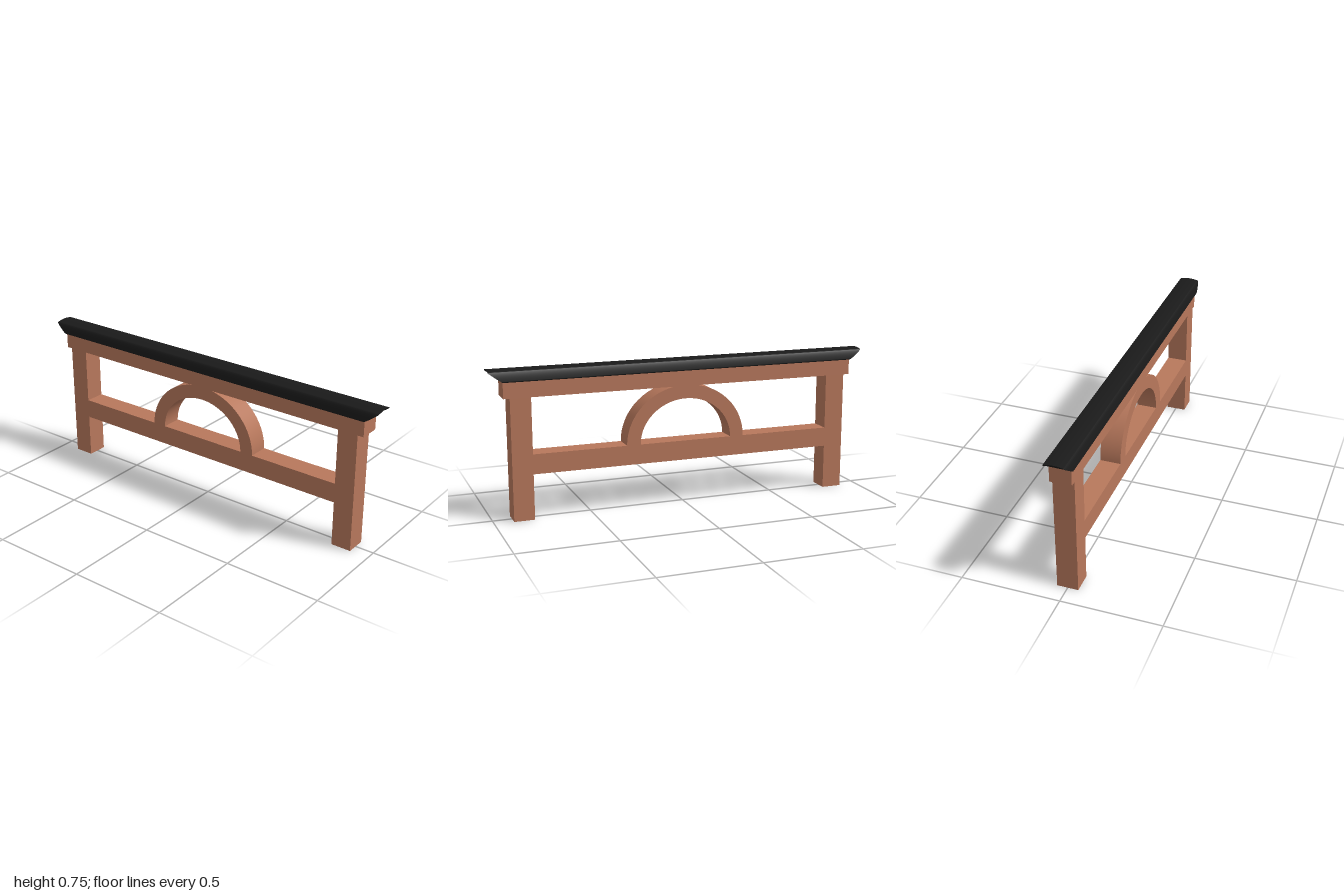
import * as THREE from 'three';
import { toCreasedNormals } from 'three/addons/utils/BufferGeometryUtils.js';

export function createModel() {
  const model = new THREE.Group();
  const wood = new THREE.MeshStandardMaterial({ color: 0xb8785c });
  const black = new THREE.MeshStandardMaterial({ color: 0x1a1a1a });
  const depth = 0.106;

  const add = (name, geometry, material) => {
    const mesh = new THREE.Mesh(geometry, material);
    mesh.name = name;
    model.add(mesh);
    return mesh;
  };
  const bar = (name, x, width, y0, y1) =>
    add(name, new THREE.BoxGeometry(width, y1 - y0, depth), wood).position.set(x, (y0 + y1) / 2, 0);

  // Frame: two posts, lower rail and overhanging top beam
  bar('leftPost', 0.85, 0.104, 0, 0.617);
  bar('rightPost', -0.85, 0.104, 0, 0.617);
  bar('lowerRail', 0, 1.6, 0.232, 0.333);
  bar('topBeam', 0, 1.866, 0.617, 0.698);

  // Half-elliptical arch standing on the rail
  const arch = new THREE.Shape();
  arch.moveTo(0.317, 0);
  arch.absellipse(0, 0, 0.317, 0.29, 0, Math.PI, false);
  arch.lineTo(-0.245, 0);
  arch.absellipse(0, 0, 0.245, 0.22, Math.PI, 0, true);
  arch.closePath();
  const archGeometry = new THREE.ExtrudeGeometry(arch, { depth, bevelEnabled: false, curveSegments: 32 });
  archGeometry.translate(0, 0.333, -depth / 2);
  add('arch', toCreasedNormals(archGeometry, 0.5), wood);

  // Coping: domed section along x, with ends that flare outward towards the top
  const section = new THREE.Shape();
  section.moveTo(-0.062, 0.697);
  section.lineTo(0.062, 0.697);
  section.quadraticCurveTo(0.065, 0.699, 0.0635, 0.705);
  section.quadraticCurveTo(0.059, 0.732, 0.052, 0.745);
  section.quadraticCurveTo(0.05, 0.749, 0.045, 0.75);
  section.quadraticCurveTo(0, 0.76, -0.045, 0.75);
  section.quadraticCurveTo(-0.05, 0.749, -0.052, 0.745);
  section.quadraticCurveTo(-0.059, 0.732, -0.0635, 0.705);
  section.quadraticCurveTo(-0.065, 0.699, -0.062, 0.697);
  const coping = new THREE.ExtrudeGeometry(section, { depth: 2, bevelEnabled: false, curveSegments: 6 });
  coping.translate(0, 0, -1).rotateY(Math.PI / 2);
  const p = coping.attributes.position;
  for (let i = 0; i < p.count; i++) {
    const t = Math.min(1, (p.getY(i) - 0.697) / 0.048);
    p.setX(i, Math.sign(p.getX(i)) * (0.932 + 0.068 * Math.pow(t, 0.9)));
  }
  add('coping', toCreasedNormals(coping, 0.5), black);

  return model;
}
